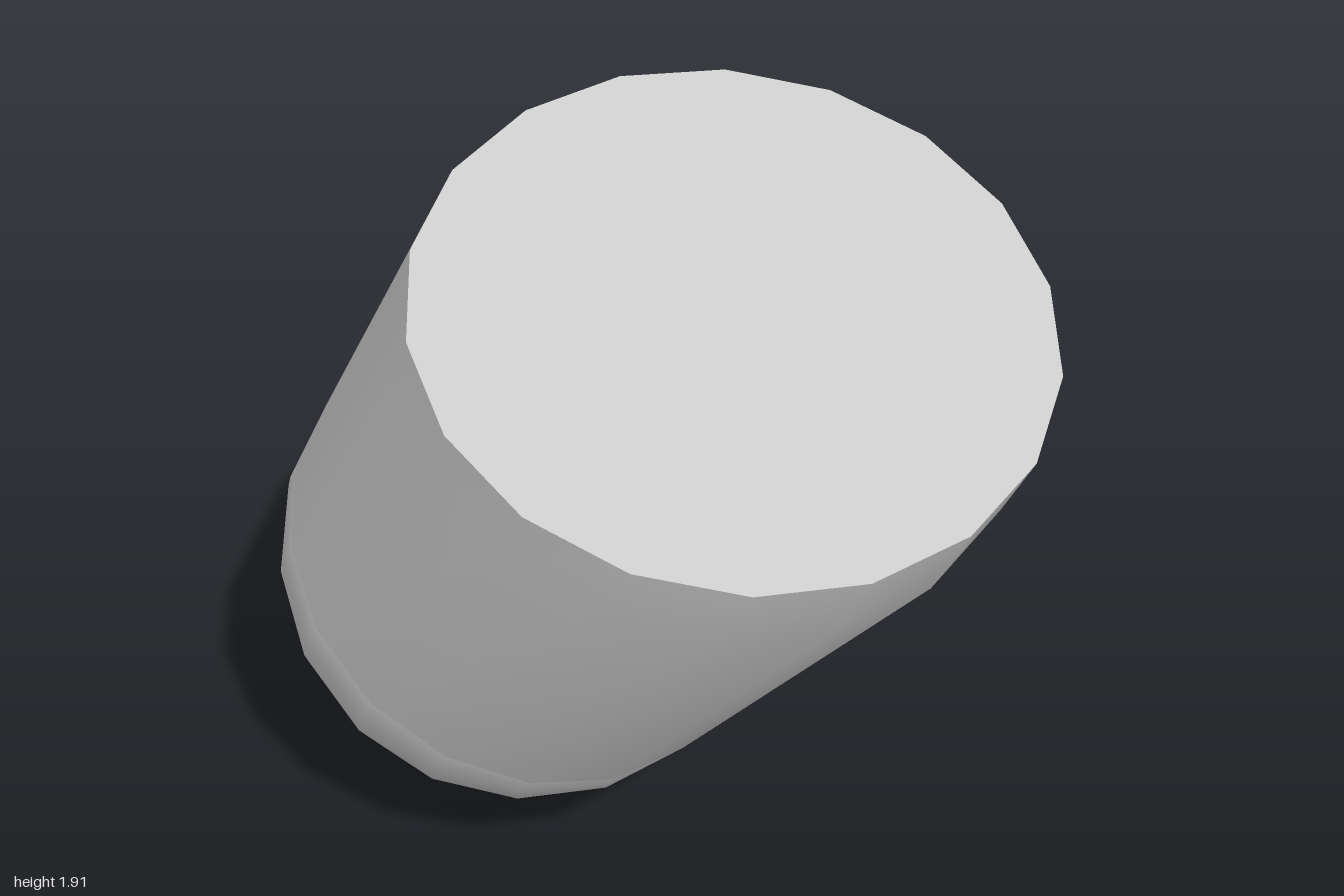
import * as THREE from 'three';
import { toCreasedNormals } from 'three/addons/utils/BufferGeometryUtils.js';

const V = (x, y, z) => new THREE.Vector3(x, y, z);
const SIDES = 18;
const R = 0.585;

// Bend centre, the two leg directions and the frame of the bend
const joint = V(-0.33, 0.75, -0.28);
const capCentre = V(-0.32, 1.7, 0.36);
const endCentre = V(0.485, 0.37, -0.54);
const capNormal = V(-0.127, 0.944, 0.305).normalize();
const endNormal = V(0.454, -0.734, -0.504).normalize();
const up = capCentre.clone().sub(joint).normalize();
const out = endCentre.clone().sub(joint).normalize();
const side = up.clone().cross(out).normalize();
const inner = up.clone().add(out).normalize();
const mitre = up.clone().sub(out).normalize();

// Ring of points, counter-clockwise about the normal, starting towards "side"
function ring(centre, normal, radius) {
  const x = side.clone().addScaledVector(normal, -side.dot(normal)).normalize();
  const y = normal.clone().cross(x);
  return Array.from({ length: SIDES }, (_, i) => {
    const a = (i / SIDES) * Math.PI * 2;
    return centre.clone()
      .addScaledVector(x, radius * Math.cos(a))
      .addScaledVector(y, radius * Math.sin(a));
  });
}

// Skin a series of rings
function loft(rings) {
  const pos = [];
  for (let k = 0; k < rings.length - 1; k++) {
    const a = rings[k], b = rings[k + 1];
    for (let i = 0; i < SIDES; i++) {
      const j = (i + 1) % SIDES;
      for (const p of [a[i], a[j], b[j], a[i], b[j], b[i]]) pos.push(p.x, p.y, p.z);
    }
  }
  const g = new THREE.BufferGeometry();
  g.setAttribute('position', new THREE.Float32BufferAttribute(pos, 3));
  return toCreasedNormals(g, 0.5);
}

// Leg: mitred on the inside of the bend, with a shoulder before its slanted rim
function leg(axis, rim, t, bulgeDir, bulge) {
  const start = ring(joint, axis, R);
  const mid = start.map((p, i) => {
    const radial = p.clone().sub(joint);
    const shift = -radial.dot(mitre) / axis.dot(mitre);
    if (shift > 0) p.addScaledVector(axis, shift);
    const w = Math.max(0, radial.normalize().dot(bulgeDir));
    return p.clone().lerp(rim[i], t).addScaledVector(radial, bulge * w);
  });
  return loft([start, mid, rim]);
}

export function createModel() {
  const group = new THREE.Group();
  const material = new THREE.MeshStandardMaterial({ color: 0xcccccc });
  const add = (name, geometry) => {
    const mesh = new THREE.Mesh(geometry, material);
    mesh.name = name;
    group.add(mesh);
    return mesh;
  };

  // Upper leg and its closed slanted cap
  const capRim = ring(capCentre, capNormal, 0.656);
  const lowFront = up.clone().cross(V(-1, 0, 0)).normalize();
  if (lowFront.z < 0) lowFront.negate();
  add('upperLeg', leg(up, capRim, 0.85, lowFront, 0.035));
  add('upperCap', loft([capRim, ring(capCentre, capNormal, 0)]));

  // Lower leg, widest on the inside of the bend
  const endRim = ring(endCentre, endNormal, 0.54);
  const longSide = inner.clone().addScaledVector(out, -inner.dot(out)).normalize();
  add('lowerLeg', leg(out, endRim, 0.78, longSide, 0.1));

  // End face with a blind round socket
  const floor = endCentre.clone().addScaledVector(endNormal, -0.4);
  add('endSocket', loft([
    endRim,
    ring(endCentre, endNormal, 0.33),
    ring(floor, endNormal, 0.33),
    ring(floor, endNormal, 0),
  ]));

  // Rounded outside of the bend: a wedge of a sphere between the legs
  const bend = Math.PI - up.angleTo(out);
  const elbow = add('elbow', new THREE.SphereGeometry(R, 6, SIDES / 2, -bend / 2, bend));
  elbow.quaternion.setFromRotationMatrix(
    new THREE.Matrix4().makeBasis(inner, side, inner.clone().cross(side)));
  elbow.position.copy(joint);

  return group;
}
